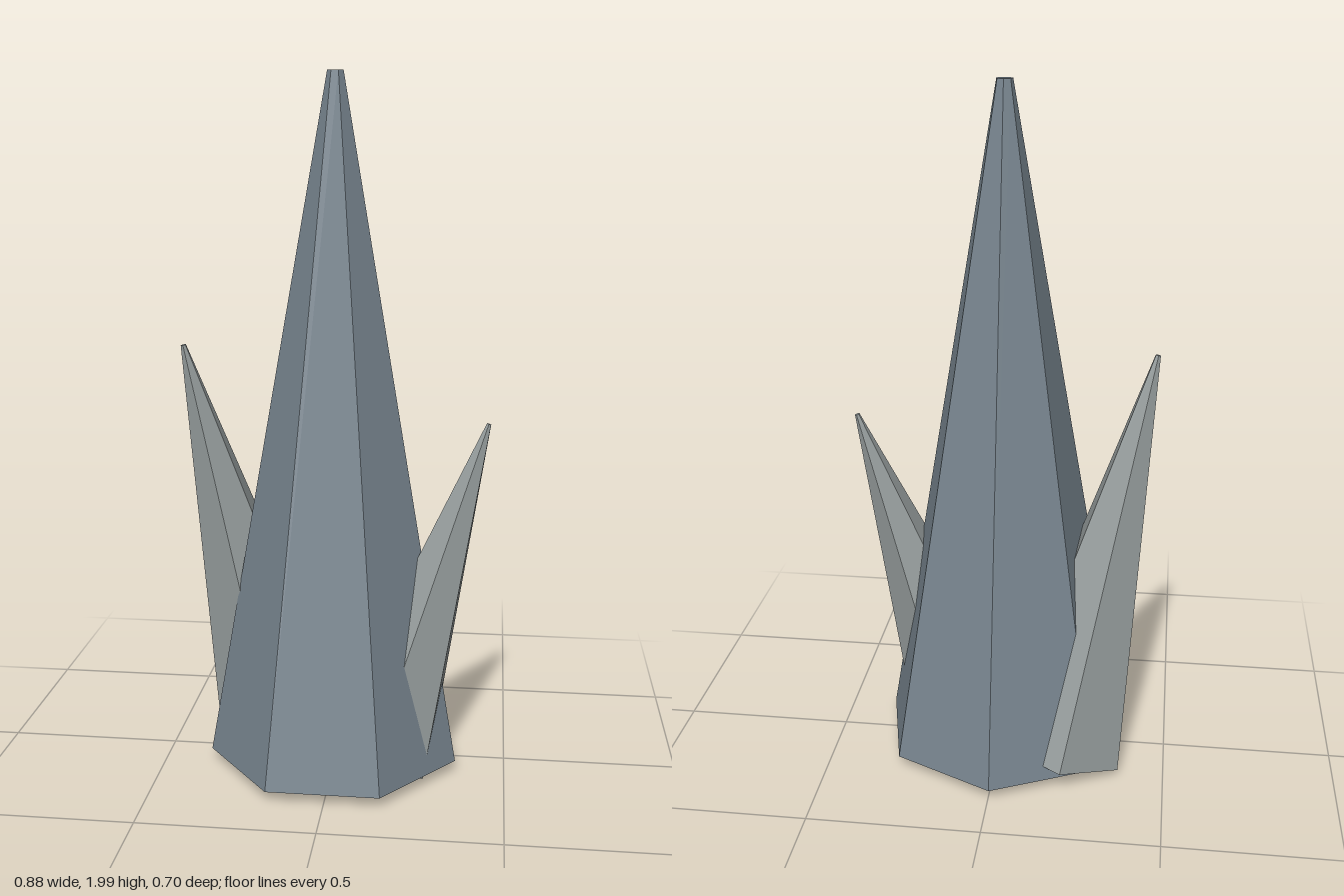
import * as THREE from 'three';

const UP = new THREE.Vector3(0, 1, 0);

// Tapered, closed shard running from a base centre to a tip centre.
function shard(name, base, tip, baseRadius, tipRadius, sides, rollDegrees, color) {
  const from = new THREE.Vector3(...base);
  const axis = new THREE.Vector3(...tip).sub(from);
  const length = axis.length();
  const geometry = new THREE.CylinderGeometry(tipRadius, baseRadius, length, sides);
  geometry.rotateY(THREE.MathUtils.degToRad(rollDegrees));
  geometry.translate(0, length / 2, 0);
  const mesh = new THREE.Mesh(
    geometry,
    new THREE.MeshStandardMaterial({ color, flatShading: true })
  );
  mesh.name = name;
  mesh.position.copy(from);
  mesh.quaternion.setFromUnitVectors(UP, axis.normalize());
  return mesh;
}

export function createModel() {
  const group = new THREE.Group();
  group.name = 'rockSpire';

  const spireColor = 0x78858f;
  const shardColor = 0x959c9c;

  // Tall seven-sided spire with one corner at the back
  group.add(shard('mainSpire', [-0.003, 0.04, 0.017], [-0.003, 2, 0.017], 0.37, 0.023, 7, 180, spireColor));

  // Two six-sided shards leaning outwards from its foot
  group.add(shard('rightShard', [-0.183, 0.055, -0.095], [-0.434, 1.247, 0.045], 0.205, 0.008, 6, 5, shardColor));
  group.add(shard('leftShard', [0.13, 0.062, 0.093], [0.432, 1.037, 0.033], 0.175, 0.007, 6, -5, shardColor));

  return group;
}
